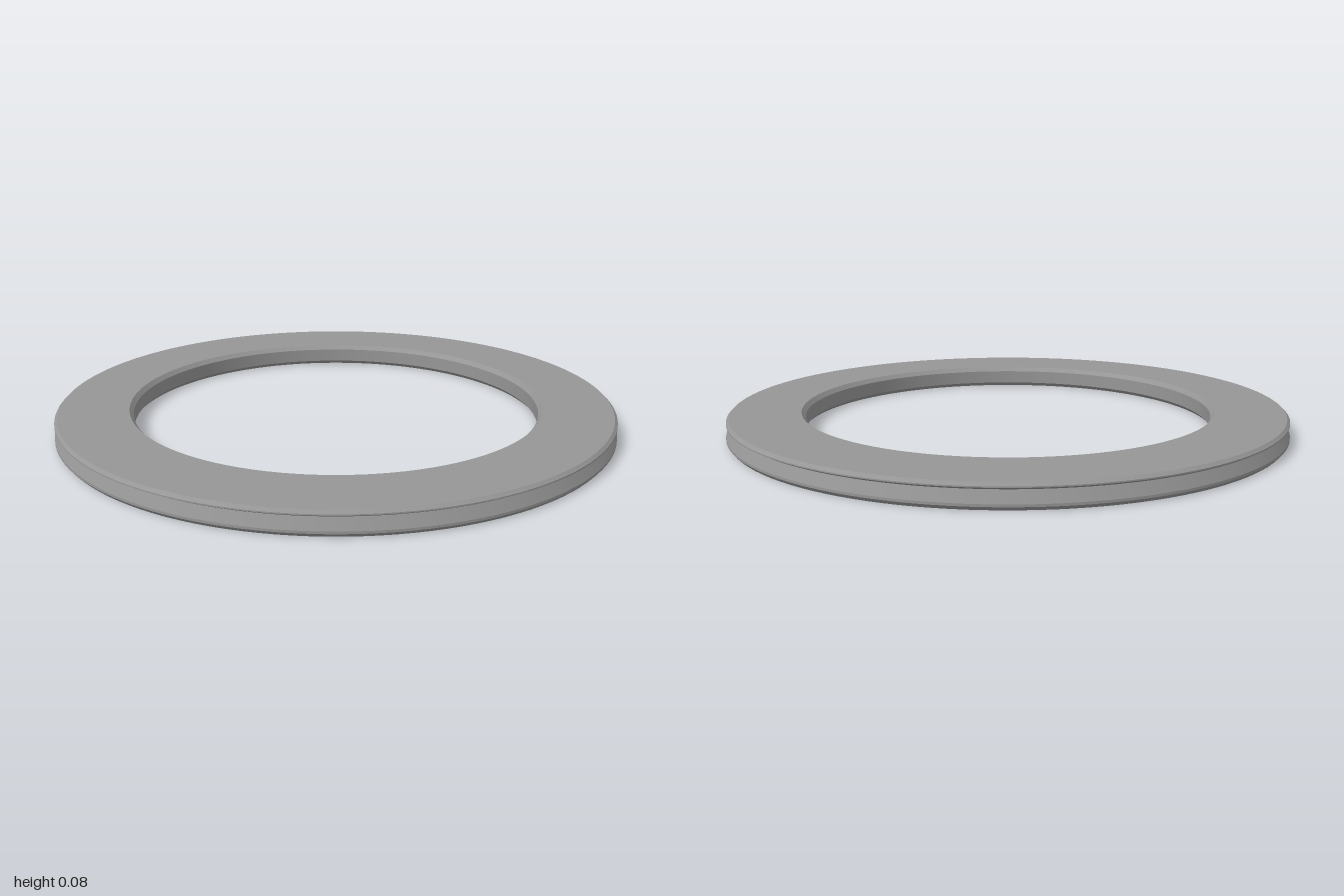
import * as THREE from 'three';
import { toCreasedNormals } from 'three/addons/utils/BufferGeometryUtils.js';

export function createModel() {
  const group = new THREE.Group();
  group.name = 'flatRing';

  // Closed cross-section (radius, height), run counter-clockwise
  const profile = [
    [0.742, 0], [0.99, 0],                           // underside
    [1, 0.012], [1, 0.02],                           // lower rim
    [0.984, 0.058], [0.998, 0.066], [0.998, 0.07],   // groove and upper lip
    [0.988, 0.08], [0.742, 0.08],                    // top face
    [0.728, 0.064], [0.728, 0.014], [0.742, 0],      // chamfered bore
  ].map(([r, y]) => new THREE.Vector2(r, y));

  const ring = new THREE.Mesh(
    toCreasedNormals(new THREE.LatheGeometry(profile, 128), 0.2),
    new THREE.MeshStandardMaterial({ color: 0x969696 })
  );
  ring.name = 'groovedRing';
  group.add(ring);
  return group;
}
